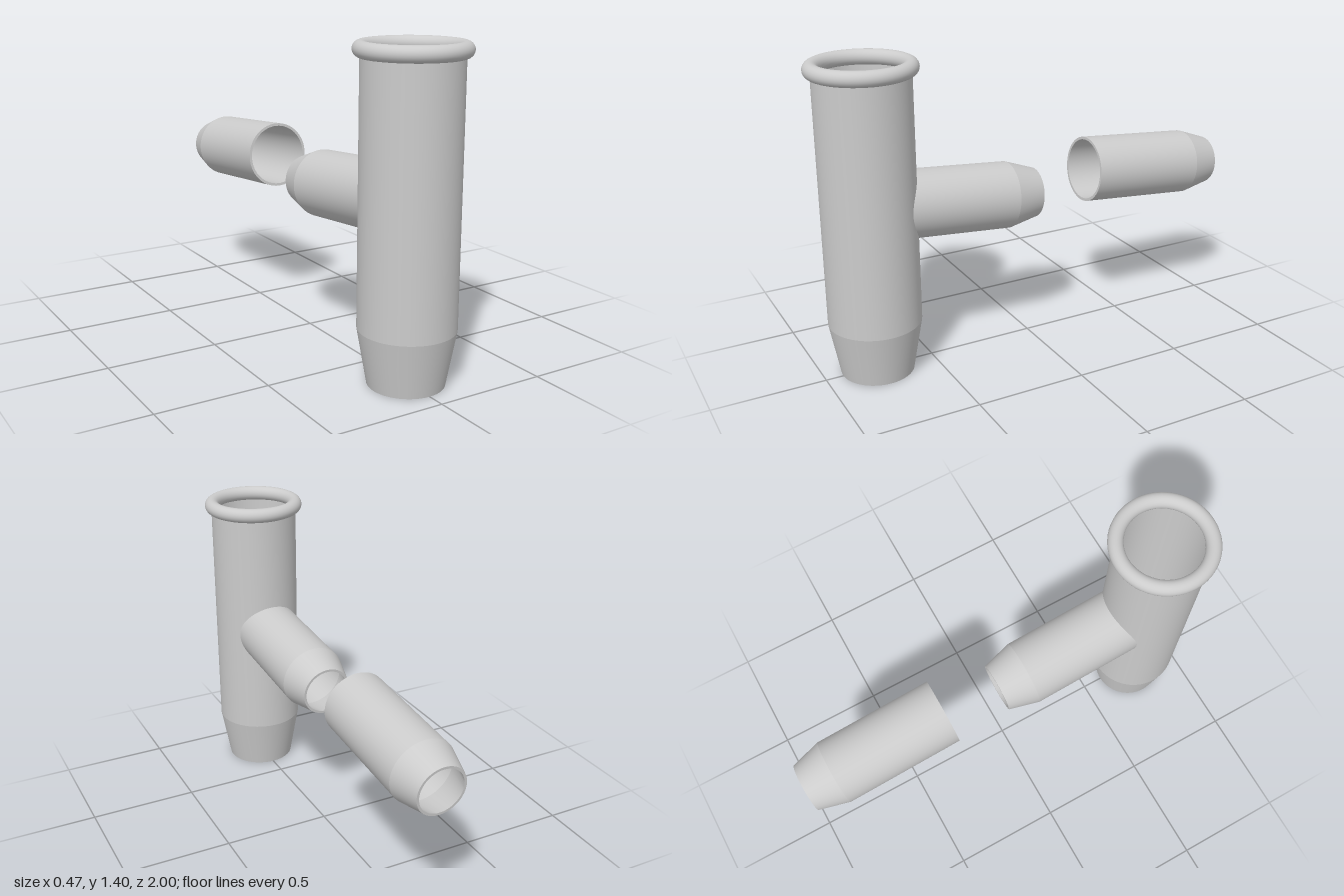
import * as THREE from 'three';
import { toCreasedNormals } from 'three/addons/utils/BufferGeometryUtils.js';

const SEGMENTS = 64;
const MAIN_Z = 0.76, MAIN_R = 0.205;
const TILT = THREE.MathUtils.degToRad(-95); // side pipes point back and 5 degrees down

const material = new THREE.MeshStandardMaterial({ color: 0xcccccc, side: THREE.DoubleSide });

function lathe(profile) {
  return new THREE.LatheGeometry(profile.map(([r, y]) => new THREE.Vector2(r, y)), SEGMENTS);
}

function addMesh(parent, name, geometry, y, z) {
  const mesh = new THREE.Mesh(geometry, material);
  mesh.name = name;
  mesh.position.set(0, y, z);
  parent.add(mesh);
  return mesh;
}

// Hollow pipe with a tapered tip, running along +y from 0 to length
function pipe(length) {
  const knee = length - 0.14;
  return lathe([
    [0.151, 0], [0.151, knee], [0.113, length],
    [0.102, length], [0.139, knee], [0.139, 0], [0.151, 0],
  ]);
}

// Slide the open end of a tilted pipe along its axis until it meets the main tube
function trimToMain(geometry, startZ) {
  const p = geometry.attributes.position;
  for (let i = 0; i < p.count; i++) {
    if (p.getY(i) > 1e-6) continue;
    const x = p.getX(i);
    const targetZ = MAIN_Z - Math.sqrt((MAIN_R - 0.002) ** 2 - x * x);
    p.setY(i, (targetZ - startZ - p.getZ(i) * Math.cos(TILT)) / Math.sin(TILT));
  }
  return geometry;
}

export function createModel() {
  const group = new THREE.Group();
  group.name = 'branchedTube';

  // Upright tube, open at both ends and tapered at the foot
  const body = lathe([[0.162, 0], [MAIN_R, 0.24], [MAIN_R, 1.365]]);
  addMesh(group, 'mainTube', toCreasedNormals(body, 0.15), 0, MAIN_Z);

  // Rolled rim
  const rim = new THREE.TorusGeometry(0.2015, 0.0335, 24, SEGMENTS).rotateX(Math.PI / 2);
  addMesh(group, 'rim', rim, 1.3665, MAIN_Z);

  // Side branch joined to the main tube
  const branchZ = 0.6;
  const branch = trimToMain(pipe(0.63), branchZ);
  addMesh(group, 'sideBranch', toCreasedNormals(branch, 0.15), 0.75, branchZ).rotation.x = TILT;

  // Separate matching pipe behind the branch
  addMesh(group, 'loosePipe', toCreasedNormals(pipe(0.69), 0.15), 0.761, -0.303).rotation.x = TILT;

  return group;
}
